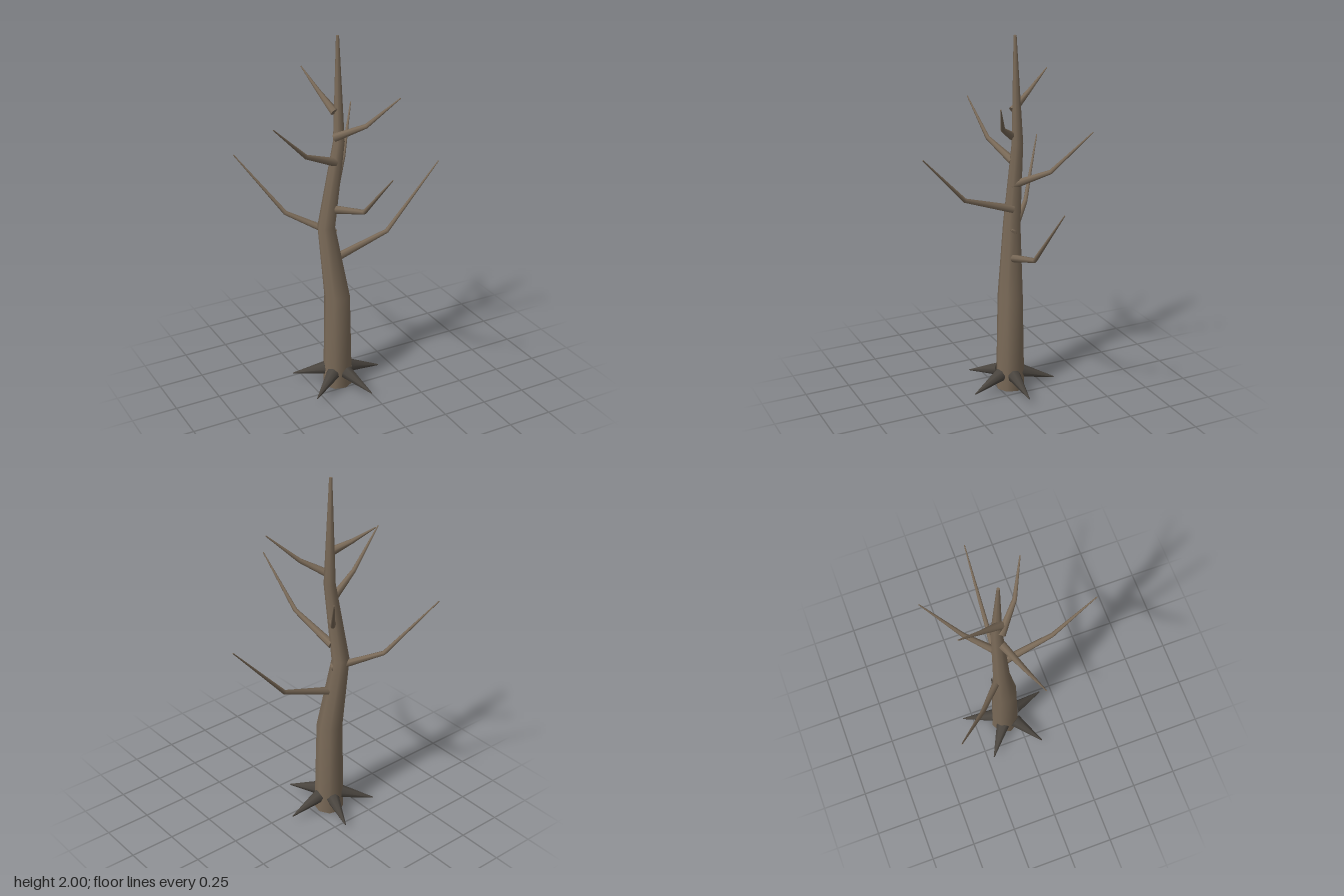
import * as THREE from 'three';

const bark = new THREE.MeshStandardMaterial({ color: 0x7a6a58 });
bark.name = 'bark brown';
const rootDark = new THREE.MeshStandardMaterial({ color: 0x4a453f });
rootDark.name = 'dark root';

// Tapered limb through [x, y, z, radius] points, smooth sides and flat end caps
function limb(name, points, sides, material) {
  const centres = points.map((p) => new THREE.Vector3(p[0], p[1], p[2]));
  const last = points.length - 1;
  const position = [], index = [];
  const ref = new THREE.Vector3(0.12, 0.3, 0.95).normalize();
  const dir = (i) => centres[i + 1].clone().sub(centres[i]).normalize();
  if (Math.abs(dir(0).dot(ref)) > 0.8) ref.set(1, 0, 0);

  const rings = points.map((p, i) => {
    const t = new THREE.Vector3();
    if (i > 0) t.add(dir(i - 1));
    if (i < last) t.add(dir(i));
    if (name === 'trunk') t.set(0, 1, 0); // level rings keep the foot flat
    t.normalize();
    const n = ref.clone().addScaledVector(t, -ref.dot(t)).normalize();
    const b = new THREE.Vector3().crossVectors(t, n);
    return Array.from({ length: sides }, (_, j) => {
      const a = (j / sides) * Math.PI * 2;
      return centres[i].clone()
        .addScaledVector(n, Math.cos(a) * p[3])
        .addScaledVector(b, Math.sin(a) * p[3]);
    });
  });

  // Sides
  rings.forEach((ring) => ring.forEach((v) => position.push(v.x, v.y, v.z)));
  for (let i = 0; i < last; i++) {
    for (let j = 0; j < sides; j++) {
      const k = (j + 1) % sides;
      const a = i * sides + j, b = i * sides + k;
      index.push(a, b, b + sides, a, b + sides, a + sides);
    }
  }
  // Caps
  for (const end of [0, last]) {
    const base = position.length / 3;
    [centres[end], ...rings[end]].forEach((v) => position.push(v.x, v.y, v.z));
    for (let j = 0; j < sides; j++) {
      const a = base + 1 + j, b = base + 1 + ((j + 1) % sides);
      if (end === 0) index.push(base, b, a);
      else index.push(base, a, b);
    }
  }
  const geometry = new THREE.BufferGeometry();
  geometry.setAttribute('position', new THREE.Float32BufferAttribute(position, 3));
  geometry.setIndex(index);
  geometry.computeVertexNormals();
  const mesh = new THREE.Mesh(geometry, material);
  mesh.name = name;
  return mesh;
}

export function createModel() {
  const tree = new THREE.Group();
  tree.name = 'bareTree';

  // Crooked trunk
  tree.add(limb('trunk', [
    [-0.105, 0, -0.073, 0.081],
    [-0.104, 0.55, -0.072, 0.071],
    [-0.149, 0.96, -0.103, 0.048],
    [-0.072, 1.43, -0.098, 0.031],
    [-0.081, 2, -0.087, 0.008],
  ], 8, bark));

  // Branches spiral up a straight axis: start height, elbow, tip
  const branches = [
    [0.77, [0.2, 0.87, -0.066], [0.52, 1.22, -0.064]],
    [0.915, [-0.31, 1.01, -0.265], [-0.52, 1.32, -0.442]],
    [1.055, [-0.085, 1.15, 0.2], [-0.06, 1.41, 0.442]],
    [1.19, [0.03, 1.28, -0.245], [0.168, 1.51, -0.415]],
    [1.325, [-0.295, 1.41, -0.03], [-0.488, 1.6, 0.002]],
    [1.46, [0.02, 1.54, 0.03], [0.17, 1.69, 0.114]],
    [1.6, [-0.135, 1.68, -0.19], [-0.174, 1.79, -0.32]],
  ];
  for (const [y, elbow, tip] of branches) {
    tree.add(limb('branch', [
      [-0.103, y, -0.085, 0.023], [...elbow, 0.0125], [...tip, 0.003],
    ], 7, bark));
  }

  // Five pointed roots around the foot
  for (let i = 0; i < 5; i++) {
    const a = (i / 5) * Math.PI * 2;
    const at = (r, y, radius) => [-0.105 + Math.cos(a) * r, y, -0.065 + Math.sin(a) * r, radius];
    tree.add(limb('root', [at(0.065, 0.092, 0.038), at(0.256, 0.038, 0.003)], 7, rootDark));
  }
  return tree;
}
